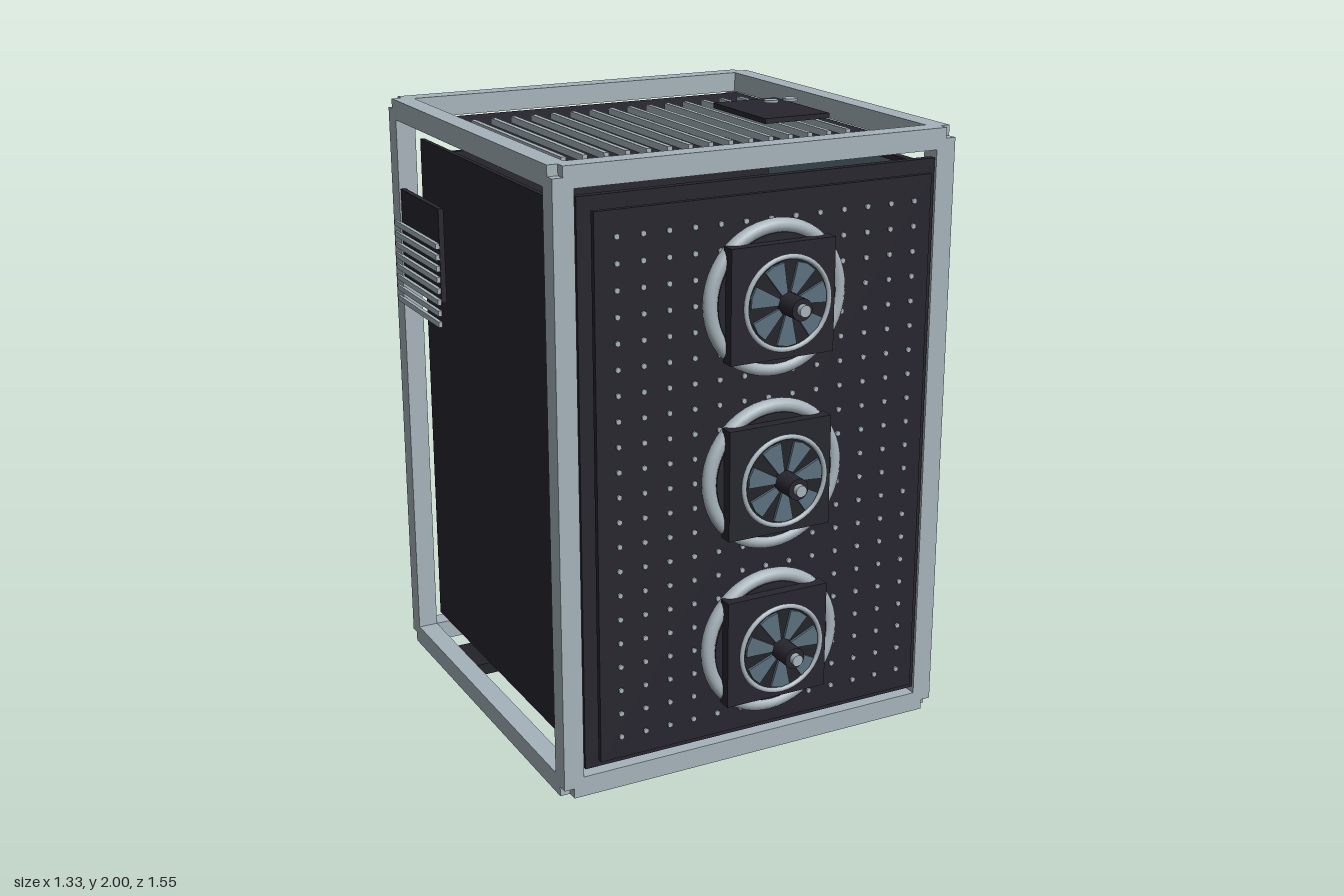
import * as THREE from 'three';

const mat = (name, color) => new THREE.MeshStandardMaterial({ name, color });

export function createModel() {
  const metal = mat('satinGrey', 0xa6b3ba);
  const dark = mat('charcoal', 0x27262f);
  const black = mat('softBlack', 0x232429);
  const teal = mat('slateBlue', 0x5a707d);

  const model = new THREE.Group();
  model.name = 'computerCase';

  const group = (name, parent = model) => {
    const g = new THREE.Group();
    g.name = name;
    parent.add(g);
    return g;
  };
  const add = (parent, name, geo, material, x = 0, y = 0, z = 0) => {
    const m = new THREE.Mesh(geo, material);
    m.name = name;
    m.position.set(x, y, z);
    parent.add(m);
    return m;
  };
  // Box given by its min and max on each axis
  const box = (parent, name, material, [x0, x1], [y0, y1], [z0, z1]) =>
    add(parent, name, new THREE.BoxGeometry(x1 - x0, y1 - y0, z1 - z0), material,
      (x0 + x1) / 2, (y0 + y1) / 2, (z0 + z1) / 2);

  // Open frame: beams end on the centre lines, leaving small corner notches
  const frame = group('frame');
  const T = 0.065, X = 0.628, Y0 = 0.071, Y1 = 1.934, Z0 = -0.732, Z1 = 0.5;
  const H = Y1 - Y0, D = Z1 - Z0;
  for (const x of [-X, X]) {
    for (const z of [Z0, Z1])
      add(frame, 'post', new THREE.BoxGeometry(T, H, T), metal, x, (Y0 + Y1) / 2, z);
    for (const y of [Y0, Y1])
      add(frame, 'sideBeam', new THREE.BoxGeometry(T, T, D), metal, x, y, (Z0 + Z1) / 2);
  }
  for (const y of [Y0, Y1])
    for (const z of [Z0, Z1])
      add(frame, 'crossBeam', new THREE.BoxGeometry(2 * X, T, T), metal, 0, y, z);

  // Feet
  for (const x of [-0.45, 0.45])
    for (const z of [-0.53, 0.3])
      add(model, 'foot', new THREE.BoxGeometry(0.22, 0.04, 0.18), black, x, 0.02, z);

  // Front panel and perforated plate
  const front = group('frontPanel');
  box(front, 'frontBoard', dark, [-0.59, 0.59], [0.127, 1.878], [0.505, 0.531]);
  box(front, 'meshPlate', dark, [-0.555, 0.555], [0.16, 1.84], [0.55, 0.568]);
  const hole = new THREE.CylinderGeometry(0.009, 0.009, 0.006, 6).rotateX(Math.PI / 2);
  for (let i = 0; i < 13; i++)
    for (let j = 0; j < 21; j++)
      add(front, 'meshDot', hole, metal, -0.49 + i * 0.0817, 0.234 + j * 0.0766, 0.577);

  // Fans: light ring, square housing, bladed rotor and spindle
  const blade = new THREE.Shape();
  [[0.035, -0.3], [0.124, -0.28], [0.126, 0], [0.124, 0.25], [0.035, 0.3]].forEach(([r, a], i) => {
    const x = r * Math.cos(a), y = r * Math.sin(a);
    if (i) blade.lineTo(x, y); else blade.moveTo(x, y);
  });
  const bladeGeo = new THREE.ExtrudeGeometry(blade, { depth: 0.008, bevelEnabled: false });
  const ringGeo = new THREE.TorusGeometry(0.213, 0.022, 12, 48);
  const rimGeo = new THREE.TorusGeometry(0.137, 0.008, 8, 40);
  const disc = (r, d, n = 24) => new THREE.CylinderGeometry(r, r, d, n).rotateX(Math.PI / 2);
  for (const y of [0.459, 0.999, 1.539]) {
    const fan = group('fan');
    fan.position.y = y;
    add(fan, 'lightRing', ringGeo, metal, 0, 0, 0.604);
    add(fan, 'ringCore', disc(0.195, 0.03, 40), dark, 0, 0, 0.605);
    add(fan, 'housing', new THREE.BoxGeometry(0.342, 0.342, 0.045), dark, 0, 0, 0.631);
    add(fan, 'rotorDisc', disc(0.134, 0.006, 40), black, 0, 0, 0.673);
    add(fan, 'rotorRim', rimGeo, metal, 0, 0, 0.678);
    for (let k = 0; k < 7; k++)
      add(fan, 'blade', bladeGeo, teal, 0, 0, 0.677).rotation.z = k * Math.PI * 2 / 7 + 0.2;
    add(fan, 'hub', disc(0.033, 0.1), dark, 0, 0, 0.707);
    add(fan, 'hubTip', disc(0.018, 0.02, 12), metal, 0, 0, 0.765);
  }

  // Top panel with vent bars and a control plate
  const top = group('topPanel');
  box(top, 'topBoard', dark, [-0.575, 0.577], [1.89, 1.906], [-0.655, 0.426]);
  for (let i = 0; i < 15; i++) {
    const x = -0.488 + i * 0.0689;
    box(top, 'ventBar', metal, [x - 0.008, x + 0.008], [1.906, 1.926], [-0.46, 0.228]);
  }
  box(top, 'controlPlate', dark, [0.2, 0.428], [1.958, 1.974], [-0.135, 0.193]);
  for (const x of [0.315, 0.384])
    add(top, 'button', new THREE.CylinderGeometry(0.023, 0.023, 0.008, 12), metal, x, 1.996, 0.03);

  // Glazed side panel in a dark surround, with corner screws
  const side = group('glazedSide');
  box(side, 'glass', teal, [0.638, 0.652], [0.178, 1.825], [-0.642, 0.424]);
  for (const [a, b] of [[0.16, 0.18], [1.823, 1.84]])
    box(side, 'surroundRail', dark, [0.615, 0.642], [a, b], [-0.665, 0.442]);
  for (const [a, b] of [[-0.665, -0.64], [0.422, 0.442]])
    box(side, 'surroundStile', dark, [0.615, 0.642], [0.16, 1.84], [a, b]);
  const screw = new THREE.CylinderGeometry(0.009, 0.009, 0.006, 10).rotateZ(Math.PI / 2);
  for (const y of [0.255, 1.745])
    for (const z of [-0.595, 0.366])
      add(side, 'screw', screw, teal, 0.653, y, z);

  // Solid side panel with vent plate and louvres
  const solid = group('solidSide');
  box(solid, 'sideBoard', dark, [-0.592, -0.577], [0.16, 1.84], [-0.667, 0.432]);
  box(solid, 'ventPlate', dark, [-0.655, -0.638], [1.37, 1.675], [-0.778, -0.36]);
  for (let i = 0; i < 8; i++) {
    const y = 1.3 + i * 0.0365;
    box(solid, 'louvre', metal, [-0.668, -0.656], [y - 0.009, y + 0.009], [-0.738, -0.36]);
  }

  // Interior: rear wall, lower shroud, upright block and slot covers
  const inside = group('interior');
  box(inside, 'innerWall', dark, [-0.575, 0.575], [0.34, 1.838], [-0.44, -0.42]);
  box(inside, 'lowerShroud', dark, [-0.55, 0.54], [0.21, 0.39], [-0.65, 0.27]);
  box(inside, 'uprightBlock', dark, [-0.52, -0.3], [0.39, 1.1], [-0.65, -0.52]);
  for (let i = 0; i < 7; i++) {
    const y = 0.57 + i * 0.06;
    box(inside, 'slotCover', metal, [0.485, 0.505], [y - 0.019, y + 0.019], [-0.69, -0.5]);
    box(inside, 'slotBracket', dark, [0.505, 0.517], [y - 0.012, y + 0.012], [-0.692, -0.5]);
  }
  return model;
}
